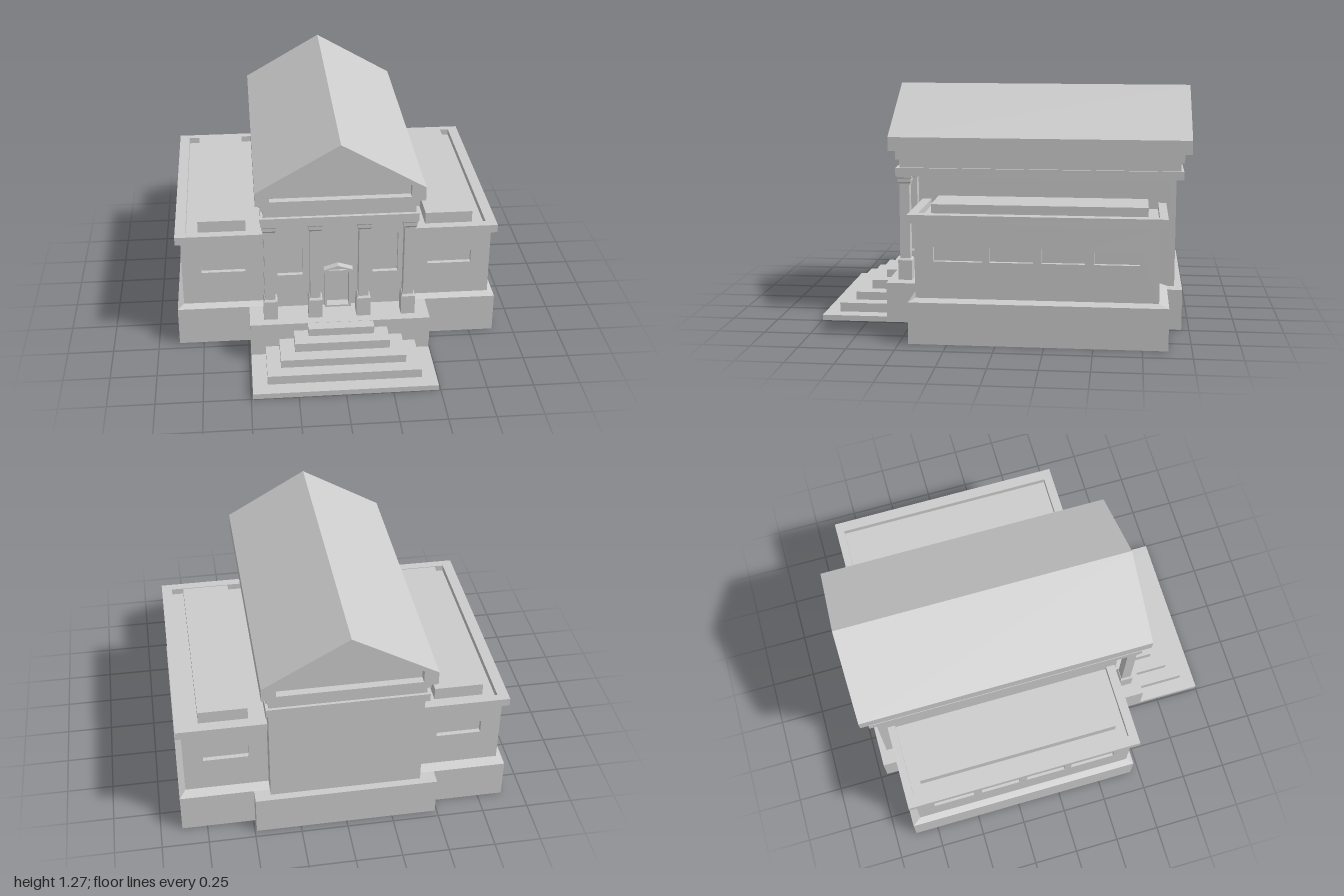
import * as THREE from 'three';

const mat = new THREE.MeshStandardMaterial({ color: 0xcccccc, flatShading: true, side: THREE.DoubleSide });

// Corner loop of a rectangle, counter-clockwise seen from above
function rect(xa, xb, z0, z1) {
  const x0 = Math.min(xa, xb), x1 = Math.max(xa, xb);
  return [[x0, z1], [x1, z1], [x1, z0], [x0, z0]];
}

// Shell through stacked loops: rings = [[loop, y], ...]; the bottom stays open
function loft(rings, cap = true) {
  const pos = [];
  const put = (p, y) => pos.push(p[0], y, p[1]);
  for (let r = 0; r < rings.length - 1; r++) {
    const [lo, y0] = rings[r], [hi, y1] = rings[r + 1];
    for (let i = 0; i < lo.length; i++) {
      const j = (i + 1) % lo.length;
      put(lo[i], y0); put(lo[j], y0); put(hi[j], y1);
      put(lo[i], y0); put(hi[j], y1); put(hi[i], y1);
    }
  }
  if (cap) {
    const [top, y] = rings[rings.length - 1];
    [0, 1, 2, 0, 2, 3].forEach(i => put(top[i], y));
  }
  const g = new THREE.BufferGeometry();
  g.setAttribute('position', new THREE.Float32BufferAttribute(pos, 3));
  g.computeVertexNormals();
  return g;
}

const outline = pts => pts.map(p => new THREE.Vector2(p[0], p[1]));
const box2 = ([x0, x1, y0, y1]) => outline([[x0, y0], [x1, y0], [x1, y1], [x0, y1]]);

// Extrusion from z0 to z1 of an outline with holes
function extrude(pts, holes, z0, z1) {
  const s = new THREE.Shape(pts);
  holes.forEach(h => s.holes.push(new THREE.Path(h)));
  return new THREE.ExtrudeGeometry(s, { depth: z1 - z0, bevelEnabled: false }).translate(0, 0, z0);
}

function add(parent, name, geometry) {
  const m = new THREE.Mesh(geometry, mat);
  m.name = name;
  parent.add(m);
  return m;
}

function block(parent, name, x0, x1, y0, y1, z0, z1) {
  const g = new THREE.BoxGeometry(Math.abs(x1 - x0), y1 - y0, z1 - z0);
  return add(parent, name, g.translate((x0 + x1) / 2, (y0 + y1) / 2, (z0 + z1) / 2));
}

// Thin wall with recessed openings; its outer face is at the local z = 0
function wall(parent, name, area, openings, x, z, turn) {
  const g = new THREE.Group();
  g.name = name;
  add(g, name + 'Panel', extrude(box2(area), openings.map(box2), -0.03, 0));
  for (const o of openings) {
    const pane = new THREE.ShapeGeometry(new THREE.Shape(box2(o))).translate(0, 0, -0.025);
    add(g, 'recessedPane', pane);
  }
  g.position.set(x, 0, z);
  g.rotation.y = turn;
  parent.add(g);
}

// Side wing with windows, parapet and raised roof; s = +1 left, -1 right
function buildWing(s) {
  const g = new THREE.Group();
  g.name = s > 0 ? 'leftWing' : 'rightWing';
  const span = (a, b, k) => [Math.min(a * k, b * k), Math.max(a * k, b * k)];
  const bays = [[0.07, 0.32], [-0.19, 0.03], [-0.455, -0.235], [-0.73, -0.5]];
  wall(g, 'wingSideWall', [...span(-0.83, 0.415, -s), 0.22, 0.63],
    bays.map(([a, b]) => [...span(a, b, -s), 0.43, 0.505]), s * 0.85, 0, s * Math.PI / 2);
  for (const [name, z, turn, k] of [['wingFrontWall', 0.415, 0, s], ['wingBackWall', -0.83, Math.PI, -s]]) {
    wall(g, name, [...span(0.4, 0.82, k), 0.22, 0.63], [[...span(0.505, 0.745, k), 0.43, 0.505]], 0, z, turn);
  }
  const inner = s * 0.4;
  const outerLoop = rect(inner, s * 0.878, -0.868, 0.45), innerLoop = rect(inner, s * 0.82, -0.825, 0.4);
  add(g, 'wingParapet', loft([
    [rect(inner, s * 0.85, -0.83, 0.415), 0.63], [outerLoop, 0.63], [outerLoop, 0.675],
    [innerLoop, 0.675], [innerLoop, 0.64]]));
  block(g, 'raisedRoof', s * 0.495, s * 0.755, 0.64, 0.71, -0.77, 0.345);
  return g;
}

// Square column with pedestal and flared capital
function buildColumn(x) {
  const profile = [[0.038, 0.22], [0.038, 0.33], [0.031, 0.34], [0.028, 0.34], [0.027, 0.75],
    [0.032, 0.75], [0.032, 0.757], [0.036, 0.766], [0.036, 0.785], [0.04, 0.79], [0.04, 0.8]];
  return loft(profile.map(([r, y]) => [rect(x - r, x + r, 0.55 - r, 0.55 + r), y]));
}

export function createModel() {
  const model = new THREE.Group();
  model.name = 'templeBuilding';

  // Hollow cross-shaped plinth with sloped skirt and floors
  const cross = [[-0.49, 0.64], [0.49, 0.64], [0.49, 0.45], [0.885, 0.45], [0.885, -0.88], [0.49, -0.88],
    [0.49, -0.96], [-0.49, -0.96], [-0.49, -0.88], [-0.885, -0.88], [-0.885, 0.45], [-0.49, 0.45]];
  add(model, 'plinth', loft([[cross, 0], [cross, 0.22]], false));
  add(model, 'plinthSkirt', loft([[rect(-0.885, 0.885, -0.88, 0.45), 0.22],
    [rect(-0.85, 0.85, -0.83, 0.415), 0.237]], false));
  add(model, 'porchFloor', loft([[rect(-0.49, 0.49, 0.45, 0.64), 0.22]]));
  add(model, 'backLedge', loft([[rect(-0.49, 0.49, -0.96, -0.88), 0.22]]));

  // Front steps as one stepped shell
  const treads = [[0.49, 1, 0.03], [0.41, 0.92, 0.08], [0.335, 0.845, 0.125], [0.255, 0.77, 0.175], [0.178, 0.7, 0.219]];
  const rings = [];
  treads.forEach(([x, z, y], i) => {
    const loop = rect(-x, x, 0.64, z);
    rings.push([loop, i ? treads[i - 1][2] : 0], [loop, y]);
  });
  add(model, 'frontSteps', loft(rings));

  // Hall walls
  wall(model, 'hallFrontWall', [-0.405, 0.405, 0.22, 0.8],
    [[-0.33, -0.193, 0.42, 0.66], [0.193, 0.33, 0.42, 0.66], [-0.06, 0.06, 0.23, 0.435]], 0, 0.46, 0);
  wall(model, 'hallBackWall', [-0.405, 0.405, 0.22, 0.8], [], 0, -0.92, Math.PI);
  for (const s of [-1, 1]) {
    const ends = s > 0 ? [-0.43, 0.89] : [-0.89, 0.43];
    wall(model, 'hallSideWall', [...ends, 0.22, 0.8], [], s * 0.405, 0, s * Math.PI / 2);
    model.add(buildWing(s));
  }

  // Door surround with small pediment
  add(model, 'doorFrame', extrude(box2([-0.072, 0.072, 0.22, 0.445]), [box2([-0.06, 0.06, 0.23, 0.435])], 0.46, 0.487));
  block(model, 'doorLintel', -0.08, 0.08, 0.445, 0.457, 0.46, 0.5);
  const gable = [[-0.08, 0.457], [0.08, 0.457], [0.08, 0.463], [0, 0.488], [-0.08, 0.463]];
  const gableInset = [[-0.055, 0.46], [0.055, 0.46], [0, 0.478]];
  add(model, 'doorPediment', extrude(outline(gable), [outline(gableInset)], 0.46, 0.5));
  add(model, 'doorPedimentPanel', extrude(outline(gableInset), [], 0.46, 0.488));

  // Portico columns
  for (const x of [-0.375, -0.131, 0.131, 0.375]) add(model, 'column', buildColumn(x));

  // Stepped entablature
  block(model, 'architrave', -0.42, 0.42, 0.8, 0.845, -0.96, 0.595);
  block(model, 'frieze', -0.405, 0.405, 0.845, 0.89, -0.945, 0.575);
  block(model, 'cornice', -0.42, 0.42, 0.89, 0.94, -0.962, 0.595);

  // Gabled roof with recessed gable panels at both ends
  const roof = [[-0.445, 0.94], [0.445, 0.94], [0.445, 1.015], [0, 1.273], [-0.445, 1.015]];
  const inset = [[-0.37, 0.963], [0.37, 0.963], [0.37, 1.03], [0, 1.246], [-0.37, 1.03]];
  add(model, 'gabledRoof', extrude(outline(roof), [outline(inset)], -1, 0.63));
  add(model, 'gablePanels', extrude(outline(inset), [], -0.96, 0.59));
  return model;
}
